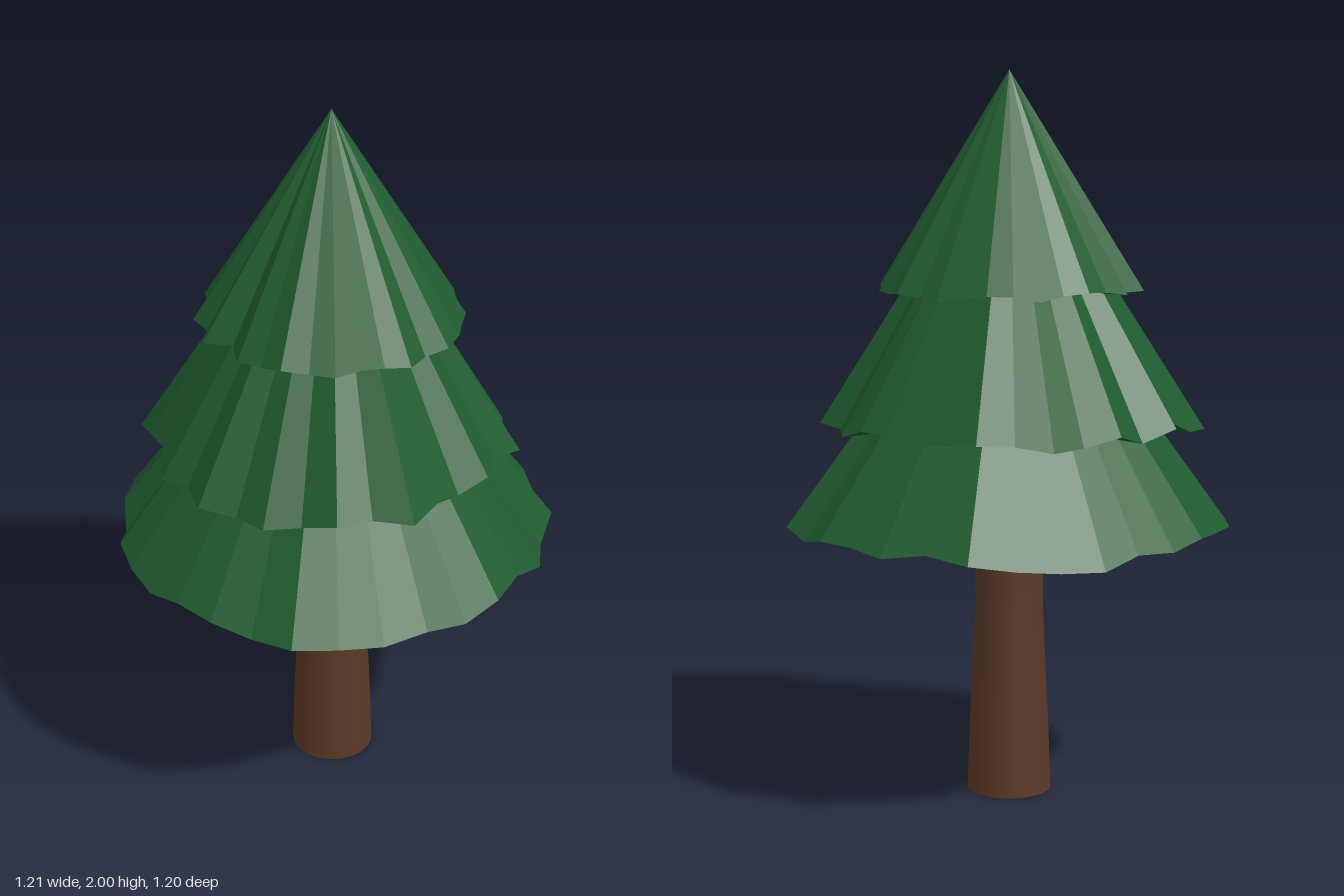
import * as THREE from 'three';

const AXIS_X = -0.02, AXIS_Z = -0.01;

// Small seeded generator for the ragged rim heights
function seeded(seed) {
  let s = seed;
  return () => (s = (s * 16807) % 2147483647) / 2147483647;
}

// Cone with an uneven rim: radii run clockwise (from above) starting at -x
function tierGeometry(apexY, rimY, waver, radii, seed) {
  const rand = seeded(seed);
  const n = radii.length;
  const rim = radii.map((r, k) => {
    const t = (k / n) * Math.PI * 2;
    return [-Math.cos(t) * r / 100, rimY + (rand() - 0.5) * waver, -Math.sin(t) * r / 100];
  });
  const apex = [0, apexY, 0], base = [0, rimY, 0], pos = [];
  for (let k = 0; k < n; k++) {
    const a = rim[k], b = rim[(k + 1) % n];
    pos.push(...apex, ...b, ...a); // sloping side
    pos.push(...base, ...a, ...b); // underside
  }
  const geo = new THREE.BufferGeometry();
  geo.setAttribute('position', new THREE.Float32BufferAttribute(pos, 3));
  geo.computeVertexNormals();
  return geo;
}

export function createModel() {
  const tree = new THREE.Group();
  tree.name = 'pineTree';

  const green = new THREE.MeshStandardMaterial({ color: 0x205c30, flatShading: true });
  const brown = new THREE.MeshStandardMaterial({ color: 0x5a3826 });

  // Foliage tiers, rim radii in hundredths of a unit
  const tiers = [
    { name: 'lowerFoliage', apex: 1.6, rim: 0.758, waver: 0.055, seed: 4711,
      radii: [58, 60, 61, 59, 60, 59, 57.5, 60, 59, 60, 63, 60, 62, 60, 61, 60,
        62, 59, 61, 59, 61, 61, 61, 61, 61, 62.5, 59.5, 60, 59.5, 60, 60, 60] },
    { name: 'middleFoliage', apex: 1.87, rim: 1.043, waver: 0.05, seed: 90210,
      radii: [50, 54, 50, 47.5, 52, 48, 50, 47, 51, 49, 51, 48, 47.5, 47, 48, 49,
        47, 52, 47, 49, 46, 47.5, 52.5, 47.5, 50, 47, 50, 47, 51, 47, 50, 47] },
    { name: 'upperFoliage', apex: 2, rim: 1.415, waver: 0.025, seed: 1337,
      radii: [37, 34, 37, 32, 37, 35, 36, 34.5, 37, 35.5, 35.5, 35, 36, 34.5, 36.5, 35,
        36, 35, 36, 36, 33.5, 35.5, 33.5, 35, 35, 34.5, 36.5, 34.5, 35.5, 31.5, 37, 34] },
  ];
  for (const t of tiers) {
    const mesh = new THREE.Mesh(tierGeometry(t.apex, t.rim, t.waver, t.radii, t.seed), green);
    mesh.name = t.name;
    mesh.position.set(AXIS_X, 0, AXIS_Z);
    tree.add(mesh);
  }

  // Trunk, slightly waisted below the foliage
  const profile = [[0.117, 0], [0.11, 0.2], [0.1, 0.4], [0.094, 0.55], [0.096, 0.65], [0.101, 0.78]];
  const trunk = new THREE.Mesh(
    new THREE.LatheGeometry(profile.map(([r, y]) => new THREE.Vector2(r, y)), 32), brown);
  trunk.name = 'trunk';
  trunk.position.set(AXIS_X, 0, AXIS_Z);
  tree.add(trunk);

  // Flat foot of the trunk
  const foot = new THREE.Mesh(new THREE.CircleGeometry(0.117, 32), brown);
  foot.name = 'trunkFoot';
  foot.rotation.x = Math.PI / 2;
  foot.position.set(AXIS_X, 0, AXIS_Z);
  tree.add(foot);

  return tree;
}
